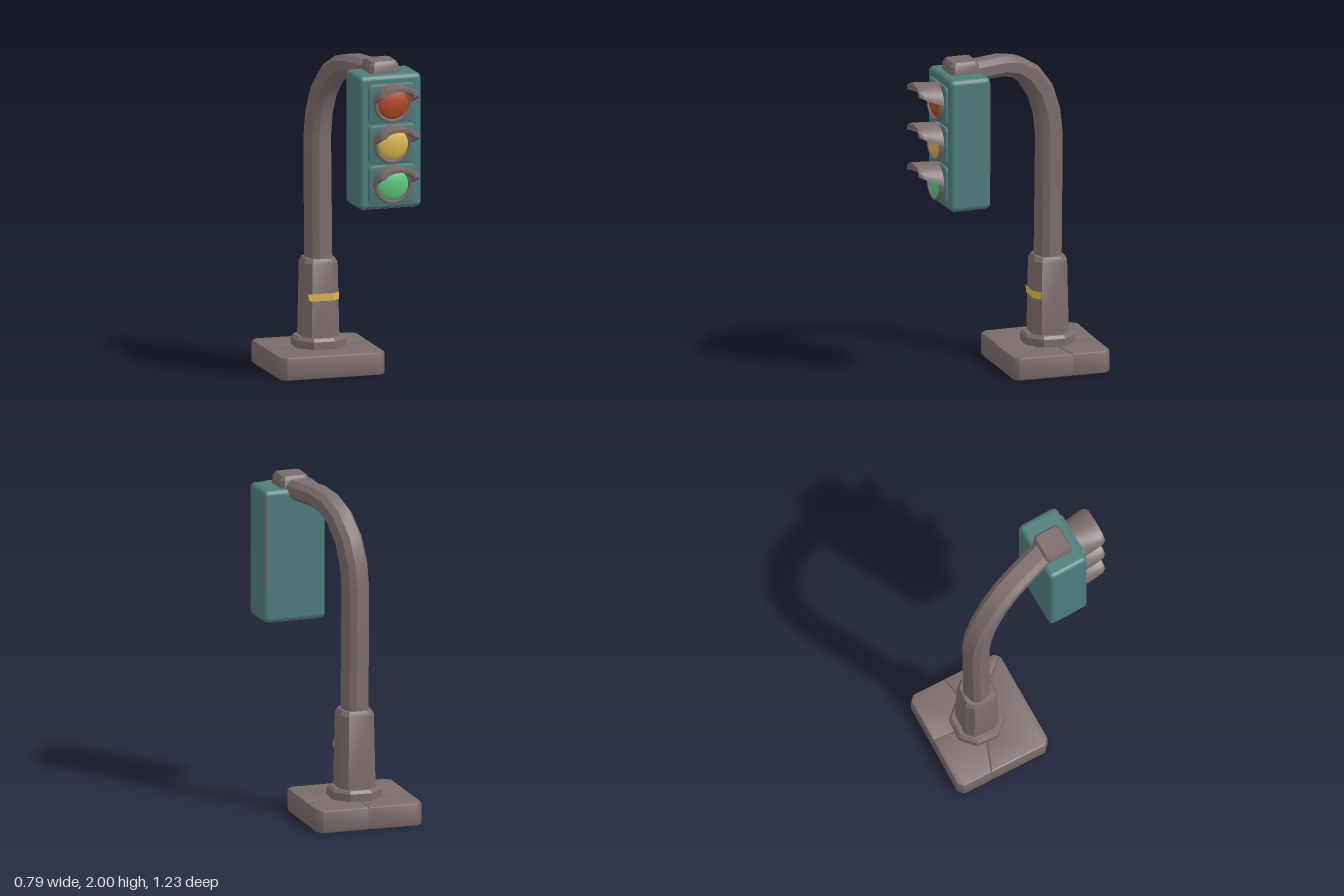
import * as THREE from 'three';
import { toCreasedNormals } from 'three/addons/utils/BufferGeometryUtils.js';
import { RoundedBoxGeometry } from 'three/addons/geometries/RoundedBoxGeometry.js';

const colour = (name, hex) => {
  const m = new THREE.MeshStandardMaterial({ color: hex, side: THREE.DoubleSide });
  m.name = name;
  return m;
};

function part(parent, name, geometry, material, x = 0, y = 0, z = 0) {
  const mesh = new THREE.Mesh(geometry, material);
  mesh.name = name;
  mesh.position.set(x, y, z);
  parent.add(mesh);
  return mesh;
}

// Skin a list of equal-length point rings; closed rings also get end caps
function loft(rings, closed = true, crease = 0.5) {
  const n = rings[0].length, last = (rings.length - 1) * n, index = [];
  for (let i = 0; i < rings.length - 1; i++) {
    for (let j = 0; j < (closed ? n : n - 1); j++) {
      const a = i * n + j, b = i * n + (j + 1) % n;
      index.push(a, b, b + n, a, b + n, a + n);
    }
  }
  if (closed) {
    for (let k = 0; k < n / 2 - 1; k++) {
      const q = [k, k + 1, n - 2 - k, n - 1 - k];
      index.push(q[0], q[2], q[1], q[0], q[3], q[2]);
      const e = q.map((v) => v + last);
      index.push(e[0], e[1], e[2], e[0], e[2], e[3]);
    }
  }
  const g = new THREE.BufferGeometry().setFromPoints(rings.flat());
  g.setIndex(index);
  return toCreasedNormals(g, crease);
}

// Chamfered rectangle, anticlockwise
const octagon = (a, b, c) => [
  [a, -b + c], [a, b - c], [a - c, b], [-a + c, b],
  [-a, b - c], [-a, -b + c], [-a + c, -b], [a - c, -b],
];

// Upright chamfered square column from [height, half width] steps
const column = (steps, chamfer) => loft(steps.map(([y, h]) =>
  octagon(h, h, h * chamfer).map(([u, v]) => new THREE.Vector3(v, y, u))));

// Flat outline extruded along z with bevelled edges kept inside the outline
function slab(shape, depth, bevel) {
  const g = new THREE.ExtrudeGeometry(shape, {
    depth: depth - 2 * bevel, bevelThickness: bevel, bevelSize: bevel,
    bevelOffset: -bevel, bevelSegments: 2, curveSegments: 4,
  });
  g.translate(0, 0, bevel);
  return toCreasedNormals(g, 0.6);
}

function roundedRect(w, h, r) {
  const s = new THREE.Shape(), x = w / 2, y = h / 2;
  s.moveTo(-x + r, -y).lineTo(x - r, -y).quadraticCurveTo(x, -y, x, -y + r);
  s.lineTo(x, y - r).quadraticCurveTo(x, y, x - r, y);
  s.lineTo(-x + r, y).quadraticCurveTo(-x, y, -x, y - r);
  s.lineTo(-x, -y + r).quadraticCurveTo(-x, -y, -x + r, -y);
  return s;
}

// Curved brim that flattens and lifts towards its tip
function visorGeometry() {
  const rows = [[0, 0, 0.125, 0.115], [0.06, 0.022, 0.128, 0.098], [0.135, 0.055, 0.128, 0.067], [0.155, 0.062, 0.112, 0.058]];
  const n = 14, t = 0.022;
  return loft(rows.map(([z, lift, rx, ry]) => {
    const arc = (d) => Array.from({ length: n + 1 }, (_, i) => {
      const a = Math.PI * i / n;
      return new THREE.Vector3((rx - d) * Math.cos(a), lift + (ry - d) * Math.sin(a), z);
    });
    return [...arc(0), ...arc(t).reverse()];
  }), true, 0.7);
}

export function createModel() {
  const model = new THREE.Group();
  model.name = 'trafficLight';
  const stone = colour('warm grey', 0x7a6c6a);
  const teal = colour('teal', 0x4d7d7b);
  const yellow = colour('yellow', 0xdcb850);
  const red = colour('red', 0xb04a28);
  const green = colour('green', 0x5ccb7e);
  const PX = -0.052, PZ = -0.305;

  // Cracked base: four bevelled slabs around the post, filled by a core
  const base = new THREE.Group();
  base.name = 'base';
  model.add(base);
  const centre = [-0.05, -0.305], back = [-0.06, -0.595], left = [-0.39, -0.37];
  const right = [0.27, -0.37], corner = [0.265, -0.01];
  const innerL = [-0.2, -0.31], innerR = [0.1, -0.33], innerF = [0.13, -0.15];
  [
    [left, [-0.4, -0.55], [-0.37, -0.585], back, centre, innerL],
    [back, [0.225, -0.61], [0.26, -0.58], right, innerR, centre],
    [centre, innerR, right, [0.287, -0.035], corner, innerF],
    [centre, innerF, corner, [0.25, -0.002], [-0.33, 0.03], [-0.37, -0.005], left, innerL],
  ].forEach((pts) => {
    const shape = new THREE.Shape(pts.map(([x, z]) => new THREE.Vector2(x, -z)));
    part(base, 'baseSlab', slab(shape, 0.142, 0.012).rotateX(-Math.PI / 2), stone);
  });
  part(base, 'baseCore', new THREE.BoxGeometry(0.6, 0.128, 0.56), stone, -0.056, 0.064, -0.29).rotation.y = 0.045;

  // Collar and sleeve
  part(model, 'collar', column([[0.12, 0.153], [0.188, 0.153], [0.206, 0.138]], 0.56), stone, PX, 0, PZ);
  part(model, 'sleeve', column([[0.19, 0.113], [0.655, 0.104], [0.682, 0.09]], 0.4), stone, PX, 0, PZ);

  // Painted band on the front of the sleeve
  const band = [[-0.08, 0.111], [0.067, 0.111], [0.111, 0.069]];
  part(model, 'paintBand', loft([0.43, 0.475].map((y, i) =>
    band.map(([x, z], j) => new THREE.Vector3(x - (j === 0 ? i * 0.015 : 0), y, z))), false), yellow, PX, 0, PZ);

  // Pole bending forward into the arm, as [reach, height, half width, half thickness]
  const path = [
    [0, 0.64, 0.074, 0.074], [-0.01, 1.42, 0.072, 0.074], [0.008, 1.57, 0.072, 0.074],
    [0.058, 1.71, 0.072, 0.072], [0.15, 1.83, 0.073, 0.068], [0.25, 1.893, 0.074, 0.064],
    [0.36, 1.918, 0.074, 0.061], [0.64, 1.92, 0.072, 0.06],
  ];
  const dir = new THREE.Vector3(0.37, 0, 0.93).normalize();
  const up = new THREE.Vector3(0, 1, 0);
  const side = new THREE.Vector3().crossVectors(dir, up);
  const rings = path.map(([s, y, a, b], i) => {
    const p = path[Math.max(i - 1, 0)], q = path[Math.min(i + 1, path.length - 1)];
    const tangent = dir.clone().multiplyScalar(q[0] - p[0]).addScaledVector(up, q[1] - p[1]).normalize();
    const normal = new THREE.Vector3().crossVectors(tangent, side);
    return octagon(a, b, 0.032).map(([u, v]) => dir.clone().multiplyScalar(s)
      .addScaledVector(up, y).addScaledVector(side, u).addScaledVector(normal, v));
  });
  part(model, 'pole', loft(rings), stone, PX, 0, PZ);

  // Lamp housing, turned slightly on the arm
  const lamp = new THREE.Group();
  lamp.name = 'lamp';
  lamp.position.set(0.19, 1.52, 0.312);
  lamp.rotation.y = 0.08;
  model.add(lamp);
  part(lamp, 'housing', new RoundedBoxGeometry(0.395, 0.818, 0.26, 2, 0.03), teal);
  part(lamp, 'underside', new THREE.BoxGeometry(0.335, 0.006, 0.2), stone, 0, -0.408, 0);
  const wear = part(lamp, 'wornEdge', new THREE.BoxGeometry(0.016, 0.55, 0.006), stone, 0.188, 0.09, -0.1205);
  wear.rotation.y = -Math.PI / 4;
  part(lamp, 'topBracket', column([[0, 0.093], [0.05, 0.09], [0.074, 0.076]], 0.22), stone, -0.015, 0.406, -0.014);

  // Three panels, each with a ring, a domed lens and a visor
  const ring = new THREE.LatheGeometry(
    [[0.094, 0], [0.098, 0.026], [0.107, 0.032], [0.116, 0.026], [0.12, 0]].map(([r, y]) => new THREE.Vector2(r, y)), 28);
  ring.rotateX(Math.PI / 2);
  const lens = new THREE.SphereGeometry(0.1, 28, 8, 0, Math.PI * 2, 0, Math.PI / 2);
  lens.rotateX(Math.PI / 2).scale(1, 1, 0.36);
  const panel = slab(roundedRect(0.295, 0.236, 0.03), 0.03, 0.008);
  const visor = visorGeometry();
  [['red', red, 0.24], ['yellow', yellow, -0.01], ['green', green, -0.256]].forEach(([name, material, y]) => {
    const signal = new THREE.Group();
    signal.name = name + 'Signal';
    signal.position.set(0.005, y, 0.115);
    lamp.add(signal);
    part(signal, 'panel', panel, teal);
    part(signal, 'ring', ring, stone, 0, 0, 0.026);
    part(signal, 'lens', lens, material, 0, 0, 0.032);
    part(signal, 'visor', visor, stone, 0, 0, 0.027);
  });
  return model;
}
